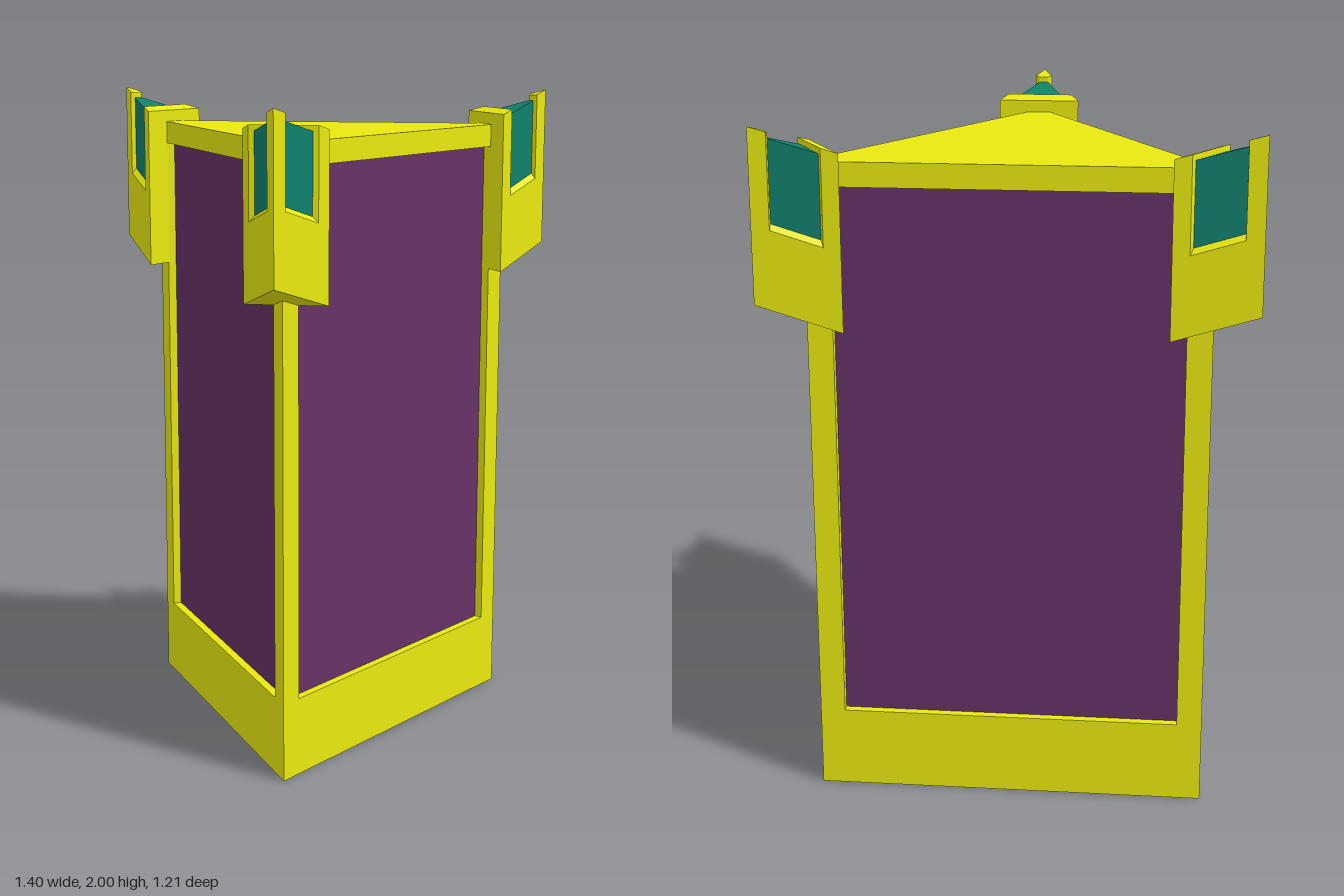
import * as THREE from 'three';

const mat = (color) => new THREE.MeshStandardMaterial({ color, flatShading: true });
const yellow = mat(0xe8e810), purple = mat(0x653166), teal = mat(0x10806c);

const R = 0.656;        // corner radius of the triangular tower
const CZ = 0.2017;      // tower axis sits this far behind the centre
const H = 1.895;
const THIRD = (Math.PI * 2) / 3;

function add(parent, name, geometry, material) {
  const mesh = new THREE.Mesh(geometry, material);
  mesh.name = name;
  parent.add(mesh);
  return mesh;
}

// Joins two convex rings of [x, y, z] points, counter-clockwise seen from the upper one.
function loft(low, high, caps = true) {
  const v = [], n = low.length;
  const tri = (a, b, c) => v.push(...a, ...b, ...c);
  for (let i = 0; i < n; i++) {
    const j = (i + 1) % n;
    tri(low[i], low[j], high[j]);
    tri(low[i], high[j], high[i]);
    if (caps && i > 0 && i < n - 1) {
      tri(high[0], high[i], high[j]);
      tri(low[0], low[j], low[i]);
    }
  }
  const g = new THREE.BufferGeometry();
  g.setAttribute('position', new THREE.Float32BufferAttribute(v, 3));
  g.computeVertexNormals();
  return g;
}

// One tower side: flat frame, recessed panel and the reveal between them.
function towerSide() {
  const side = new THREE.Group();
  side.name = 'towerSide';
  const w = (R * Math.sqrt(3)) / 2, z = R / 2, depth = 0.026;
  const ix = w - 0.073, y0 = 0.24, y1 = 1.825;
  const rect = (hw, a, b) => [[-hw, a], [hw, a], [hw, b], [-hw, b]];
  const toV2 = (pts) => pts.map(([x, y]) => new THREE.Vector2(x, y));
  const opening = rect(ix, y0, y1);

  const shape = new THREE.Shape(toV2(rect(w, 0, H)));
  shape.holes.push(new THREE.Path(toV2(opening)));
  add(side, 'frame', new THREE.ShapeGeometry(shape), yellow).position.z = z;

  const ring = (d) => opening.map(([x, y]) => [x, y, z - d]);
  add(side, 'reveal', loft(ring(0), ring(depth), false), yellow);
  add(side, 'panel', new THREE.PlaneGeometry(2 * ix, y1 - y0), purple)
    .position.set(0, (y0 + y1) / 2, z - depth);
  return side;
}

// Corner turret: triangular, sloping down towards the tower, with a glazed core.
function turret() {
  const group = new THREE.Group();
  group.name = 'turret';
  const TIP = 0.605, BACK = 0.39;
  const halfWidth = (z) => (TIP - z) / Math.sqrt(3);
  const slope = (y, k) => (z) => y - k * (TIP - z);
  const bottom = slope(1.505, 0.35), sill = slope(1.732, 0.35), top = slope(2, 0.32);
  const sillTop = (z) => sill(z) + 0.018, glassTop = (z) => top(z) - 0.017;
  const ring = (plan, y) => plan.map(([x, z]) => [x, y(z), z + CZ]);
  const prism = (plan, low, high) => loft(ring(plan, low), ring(plan, high));
  // Plan slice between two depths, inset from the outer faces.
  const slice = (zFront, zBack, inset = 0) => {
    const f = halfWidth(zFront) - inset, b = halfWidth(zBack) - inset;
    return [[-f, zFront], [f, zFront], [b, zBack], [-b, zBack]];
  };
  const triangle = (zBack) => [[0, TIP], [halfWidth(zBack), zBack], [-halfWidth(zBack), zBack]];

  add(group, 'turretBase', prism(triangle(BACK), bottom, sill), yellow);

  // Post at the outer corner, with reveals square to the faces
  const post = [[0, TIP], [0.026, 0.56], [0.013, 0.5525], [-0.013, 0.5525], [-0.026, 0.56]];
  add(group, 'cornerPost', prism(post, sill, top), yellow);
  add(group, 'innerWall', prism(slice(0.432, BACK), sill, top), yellow);

  // Bevelled sill and the recessed glass
  add(group, 'sill', loft(ring(slice(0.558, 0.432), sill), ring(slice(0.558, 0.432, 0.017), sillTop)), yellow);
  add(group, 'glass', prism(slice(0.555, 0.43, 0.017), sill, glassTop), teal);
  return group;
}

export function createModel() {
  const model = new THREE.Group();
  model.name = 'triangularTower';
  const tower = new THREE.Group();
  tower.name = 'tower';
  tower.position.z = -CZ;
  model.add(tower);

  // Roof and floor
  const roof = new THREE.CircleGeometry(R, 3, -Math.PI / 2).rotateX(-Math.PI / 2);
  add(tower, 'roof', roof, yellow).position.y = H;
  add(tower, 'floor', new THREE.CircleGeometry(R, 3, Math.PI / 2).rotateX(Math.PI / 2), yellow);

  // Three sides and three corner turrets
  for (let i = 0; i < 3; i++) {
    const side = towerSide(), corner = turret();
    side.rotation.y = Math.PI + i * THIRD;
    corner.rotation.y = i * THIRD;
    tower.add(side, corner);
  }
  return model;
}
